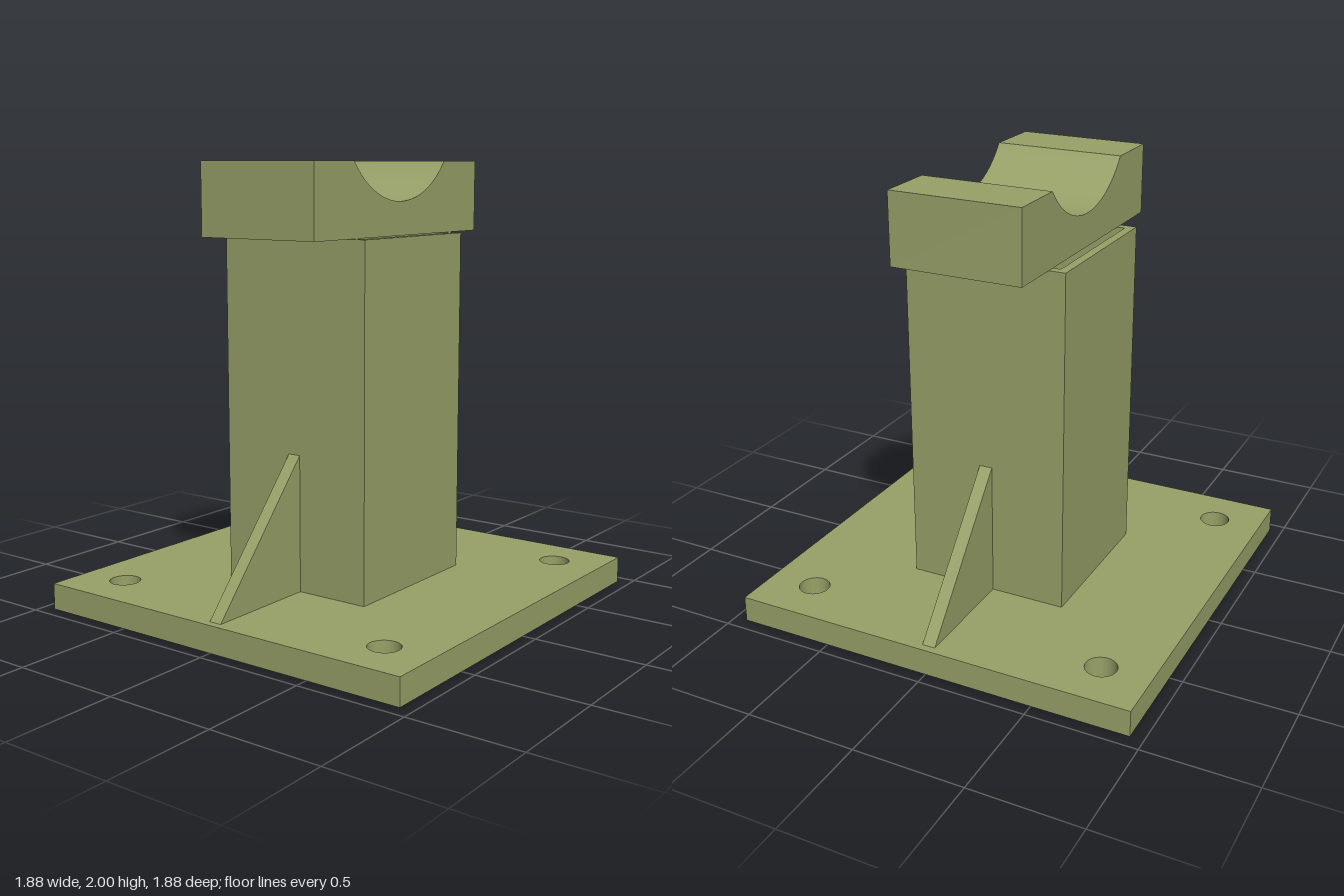
import * as THREE from 'three';
import { toCreasedNormals } from 'three/addons/utils/BufferGeometryUtils.js';

const olive = new THREE.MeshStandardMaterial({ color: 0x98a168 });
olive.name = 'olive';

function squarePath(PathType, half) {
  const p = new PathType();
  p.moveTo(-half, -half);
  p.lineTo(half, -half);
  p.lineTo(half, half);
  p.lineTo(-half, half);
  p.closePath();
  return p;
}

function extrude(shape, depth) {
  return new THREE.ExtrudeGeometry(shape, { depth, bevelEnabled: false, curveSegments: 32 });
}

function part(name, geometry) {
  const mesh = new THREE.Mesh(toCreasedNormals(geometry, 0.6), olive);
  mesh.name = name;
  return mesh;
}

export function createModel() {
  const group = new THREE.Group();
  group.name = 'pipeSupport';
  const baseTop = 0.12, postTop = 1.68, postHalf = 0.375;

  // Base plate with four bolt holes
  const plate = squarePath(THREE.Shape, 0.94);
  for (const x of [-0.715, 0.715]) {
    for (const y of [-0.715, 0.715]) {
      const hole = new THREE.Path();
      hole.absarc(x, y, 0.07, 0, Math.PI * 2, true);
      plate.holes.push(hole);
    }
  }
  group.add(part('basePlate', extrude(plate, baseTop).rotateX(-Math.PI / 2)));

  // Hollow square post
  const tube = squarePath(THREE.Shape, postHalf);
  tube.holes.push(squarePath(THREE.Path, 0.335));
  const post = extrude(tube, postTop - baseTop).rotateX(-Math.PI / 2).translate(0, baseTop, 0);
  group.add(part('post', post));

  // Triangular gussets on both sides
  const triangle = new THREE.Shape();
  triangle.moveTo(postHalf, baseTop);
  triangle.lineTo(0.905, baseTop);
  triangle.lineTo(postHalf, 0.735);
  triangle.closePath();
  for (const side of ['left', 'right']) {
    const rib = extrude(triangle, 0.06).translate(0, 0, -0.03);
    if (side === 'right') rib.rotateY(Math.PI);
    group.add(part(side + 'Gusset', rib));
  }

  // Saddle block with a cylindrical cradle
  const halfWidth = 0.617, chord = 0.345, sag = 0.172;
  const radius = (chord * chord + sag * sag) / (2 * sag);
  const centreY = 2 - sag + radius;
  const angle = Math.asin(chord / radius);
  const block = new THREE.Shape();
  block.moveTo(-halfWidth, postTop);
  block.lineTo(halfWidth, postTop);
  block.lineTo(halfWidth, 2);
  block.lineTo(chord, 2);
  block.absarc(0, centreY, radius, -Math.PI / 2 + angle, -Math.PI / 2 - angle, true);
  block.lineTo(-halfWidth, 2);
  block.closePath();
  group.add(part('saddle', extrude(block, 0.6).translate(0, 0, -0.3)));

  return group;
}
